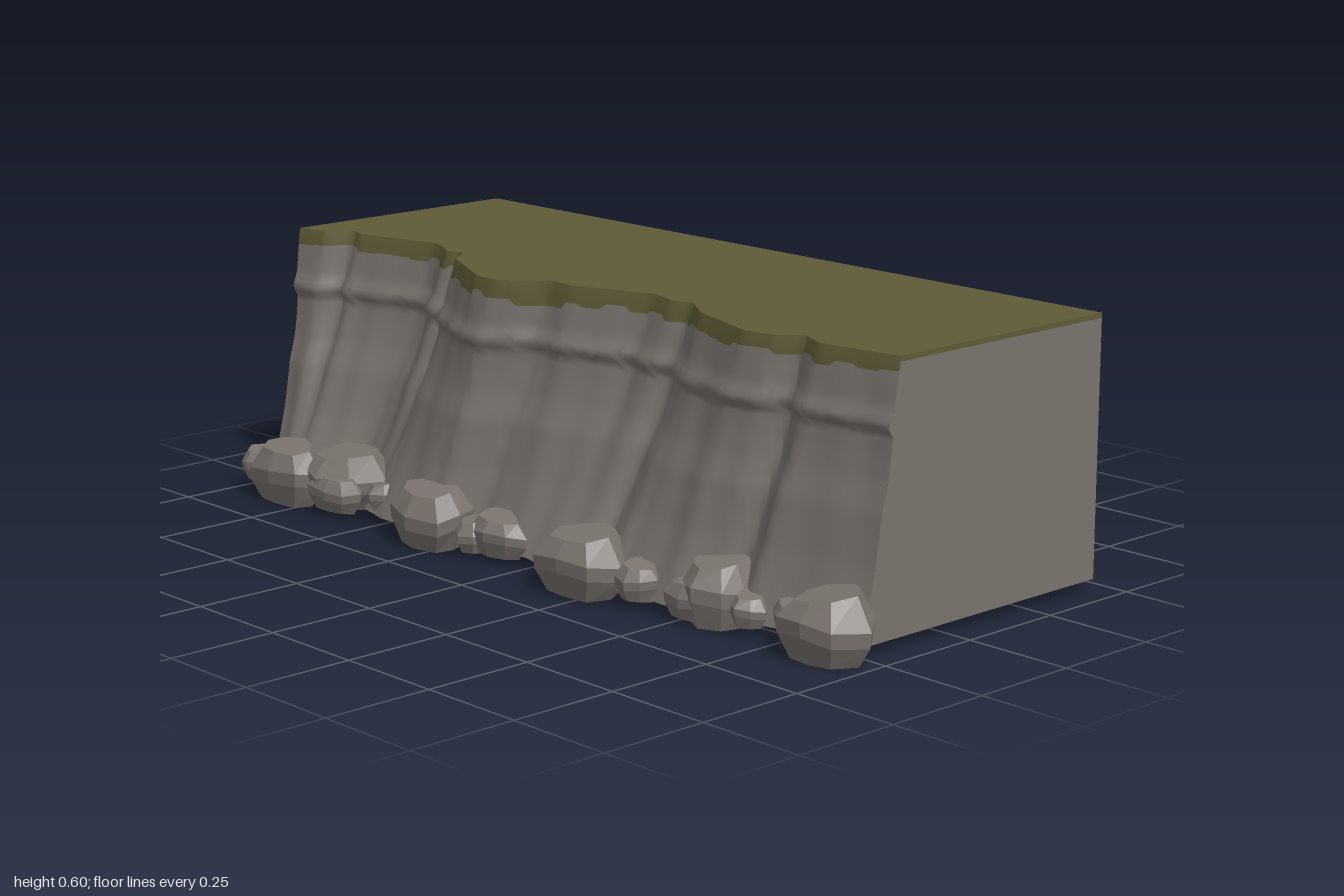
import * as THREE from 'three';

const rock = new THREE.MeshStandardMaterial({ color: 0x7a736e });
rock.name = 'grey rock';
const grass = new THREE.MeshStandardMaterial({ color: 0x5f5a37 });
grass.name = 'olive grass';

const TOP = 0.605, BASE = 0.028, BACK = -0.455, COLS = 140;
const LEFT = -0.99, RIGHT = 0.945;

// Cliff outline: x, z at the brow, z at the foot
const OUTLINE = [
  [-0.99, 0.16, 0.26], [-0.905, 0.145, 0.28], [-0.87, 0.09, 0.29], [-0.825, 0.107, 0.30],
  [-0.62, 0.053, 0.24], [-0.57, 0.067, 0.25], [-0.52, 0.098, 0.28], [-0.475, 0.085, 0.31],
  [-0.44, 0.14, 0.33], [-0.25, 0.235, 0.36], [-0.19, 0.24, 0.35], [-0.14, 0.205, 0.31],
  [-0.1, 0.157, 0.30], [-0.02, 0.157, 0.31], [0.165, 0.09, 0.33], [0.245, 0.112, 0.32],
  [0.29, 0.095, 0.31], [0.375, 0.155, 0.35], [0.565, 0.215, 0.34], [0.645, 0.2, 0.30],
  [0.68, 0.157, 0.27], [0.75, 0.19, 0.31], [0.945, 0.16, 0.265],
];

// Ledge relief: height, outward bulge
const RELIEF = [
  [TOP, 0], [0.585, 0.003], [0.55, 0.005], [0.5, 0.007], [0.475, 0.016], [0.462, 0.017],
  [0.45, 0.002], [0.4, 0], [0.35, 0], [0.29, 0.006], [0.23, 0.003], [0.18, 0], [0.12, 0], [BASE, 0],
];

function interp(table, x, column) {
  let i = 1;
  while (i < table.length - 1 && (table[i][0] - x) * (table[1][0] - table[0][0]) < 0) i++;
  const a = table[i - 1], b = table[i];
  return a[column] + (b[column] - a[column]) * (x - a[0]) / (b[0] - a[0]);
}

// Point on the cliff face; the ridges lean sideways towards the foot
function facePoint(u, y) {
  const x = LEFT + u * (RIGHT - LEFT);
  const t = (TOP - y) / (TOP - BASE);
  const endFade = Math.min(1, 8 * u, 8 * (1 - u));
  const sx = Math.min(RIGHT, x + 0.1 * t * endFade);
  const brow = interp(OUTLINE, sx, 1), foot = interp(OUTLINE, sx, 2);
  const bend = 0.35 * t + 0.65 * t * t;
  const rough = 0.004 * Math.sin(47 * sx + 2 * y) * Math.sin(13 * sx + 5 * y) * Math.min(1, 4 * t);
  return [x, y, brow + (foot - brow) * bend + interp(RELIEF, y, 1) + rough];
}

// Stepped lower edge of the turf
function turfEdge(u) {
  const n = Math.floor(u * 37);
  const x = LEFT + u * (RIGHT - LEFT);
  const dip = x > -0.22 && x < -0.05 ? 0.012 : 0;
  return 0.568 - dip + 0.008 * Math.sin(n * n * 1.7 + n);
}

// Grid seen from outside: v runs down, u runs to the right
function sheet(name, material, uCount, vCount, point) {
  const positions = [], index = [];
  for (let v = 0; v <= vCount; v++)
    for (let u = 0; u <= uCount; u++) positions.push(...point(u / uCount, v / vCount));
  const w = uCount + 1;
  for (let v = 0; v < vCount; v++)
    for (let u = 0; u < uCount; u++) {
      const a = v * w + u;
      index.push(a, a + w, a + w + 1, a, a + w + 1, a + 1);
    }
  const geometry = new THREE.BufferGeometry();
  geometry.setAttribute('position', new THREE.Float32BufferAttribute(positions, 3));
  geometry.setIndex(index);
  geometry.computeVertexNormals();
  const mesh = new THREE.Mesh(geometry, material);
  mesh.name = name;
  return mesh;
}

const mix = (a, b, t) => a + (b - a) * t;

// Faceted boulder from three rings with an uneven outline
function boulder([x, y, z, w, h, d], seed) {
  const geometry = new THREE.CylinderGeometry(1, 1, 1, 8, 3);
  const p = geometry.attributes.position;
  for (let i = 0; i < p.count; i++) {
    const a = Math.atan2(p.getZ(i), p.getX(i));
    const r = Math.hypot(p.getX(i), p.getZ(i));
    const level = Math.round((p.getY(i) + 0.5) * 3);
    const ring = [0.72, 0.97, 1, 0.66][level];
    const lump = 1 + 0.1 * Math.sin(3 * a + seed * 2.3) + 0.06 * Math.sin(2 * a + seed);
    const px = Math.cos(a) * r * ring * lump, pz = Math.sin(a) * r * ring * lump;
    const tilt = level === 3 ? 0.1 * Math.sin(seed * 1.9) * px - 0.1 * pz : 0;
    const wobble = level === 1 || level === 2 ? 0.06 * Math.sin(2 * a + seed * 3) : 0;
    p.setXYZ(i, px, [-0.5, -0.12, 0.12, 0.5][level] + tilt + wobble, pz);
  }
  geometry.scale(w / 2, h, d / 2);
  const flat = geometry.toNonIndexed();
  flat.computeVertexNormals();
  const mesh = new THREE.Mesh(flat, rock);
  mesh.position.set(x, y, z);
  mesh.name = 'boulder' + (seed + 1);
  return mesh;
}

// Boulders: centre x, y, z, then width, height, depth
const BOULDERS = [
  [-0.81, 0.07, 0.345, 0.24, 0.13, 0.14], [-0.66, 0.08, 0.29, 0.26, 0.12, 0.19],
  [-0.945, 0.065, 0.325, 0.1, 0.07, 0.1], [-0.62, 0.06, 0.35, 0.16, 0.08, 0.09],
  [-0.51, 0.065, 0.3, 0.09, 0.06, 0.08], [-0.29, 0.07, 0.345, 0.24, 0.13, 0.15],
  [-0.09, 0.06, 0.315, 0.17, 0.085, 0.1], [-0.16, 0.05, 0.33, 0.1, 0.07, 0.09],
  [0.22, 0.07, 0.345, 0.23, 0.13, 0.19], [0.38, 0.06, 0.335, 0.1, 0.075, 0.09],
  [0.57, 0.07, 0.29, 0.18, 0.135, 0.15], [0.53, 0.055, 0.33, 0.13, 0.08, 0.08],
  [0.67, 0.055, 0.3, 0.09, 0.065, 0.08], [0.77, 0.06, 0.285, 0.08, 0.06, 0.07],
  [0.89, 0.07, 0.295, 0.2, 0.135, 0.2], [-0.97, 0.065, 0.275, 0.06, 0.06, 0.08],
];

export function createModel() {
  const model = new THREE.Group();
  model.name = 'cliff';

  // Front face: turf fringe above bare rock
  model.add(
    sheet('turfFringe', grass, COLS, 3, (u, v) => facePoint(u, mix(TOP, turfEdge(u), v))),
    sheet('cliffFace', rock, COLS, 44, (u, v) => facePoint(u, mix(turfEdge(u), BASE, v))),
  );

  // Flat turf top and rock underside
  model.add(
    sheet('turfTop', grass, COLS, 1, (u, v) => {
      const [x, y, z] = facePoint(u, TOP);
      return [x, y, mix(BACK, z, v)];
    }),
    sheet('underside', rock, COLS, 1, (u, v) => {
      const [x, y, z] = facePoint(u, BASE);
      return [x, y, mix(z, BACK, v)];
    }),
  );

  // Side and back walls, each with a thin turf rim
  const rim = 0.594;
  const bands = [['TurfRim', grass, TOP, rim, 1], ['Wall', rock, rim, BASE, 30]];
  for (const [part, material, high, low, rows] of bands) {
    model.add(
      sheet('left' + part, material, 1, rows, (u, v) => {
        const [x, y, z] = facePoint(1, mix(high, low, v));
        return [x, y, mix(z, BACK, u)];
      }),
      sheet('right' + part, material, 1, rows, (u, v) => {
        const [x, y, z] = facePoint(0, mix(high, low, v));
        return [x, y, mix(BACK, z, u)];
      }),
      sheet('back' + part, material, 1, 1, (u, v) => [mix(RIGHT, LEFT, u), mix(high, low, v), BACK]),
    );
  }

  // Fallen boulders along the foot
  const boulders = new THREE.Group();
  boulders.name = 'boulders';
  BOULDERS.forEach((b, i) => boulders.add(boulder(b, i)));
  model.add(boulders);
  return model;
}
